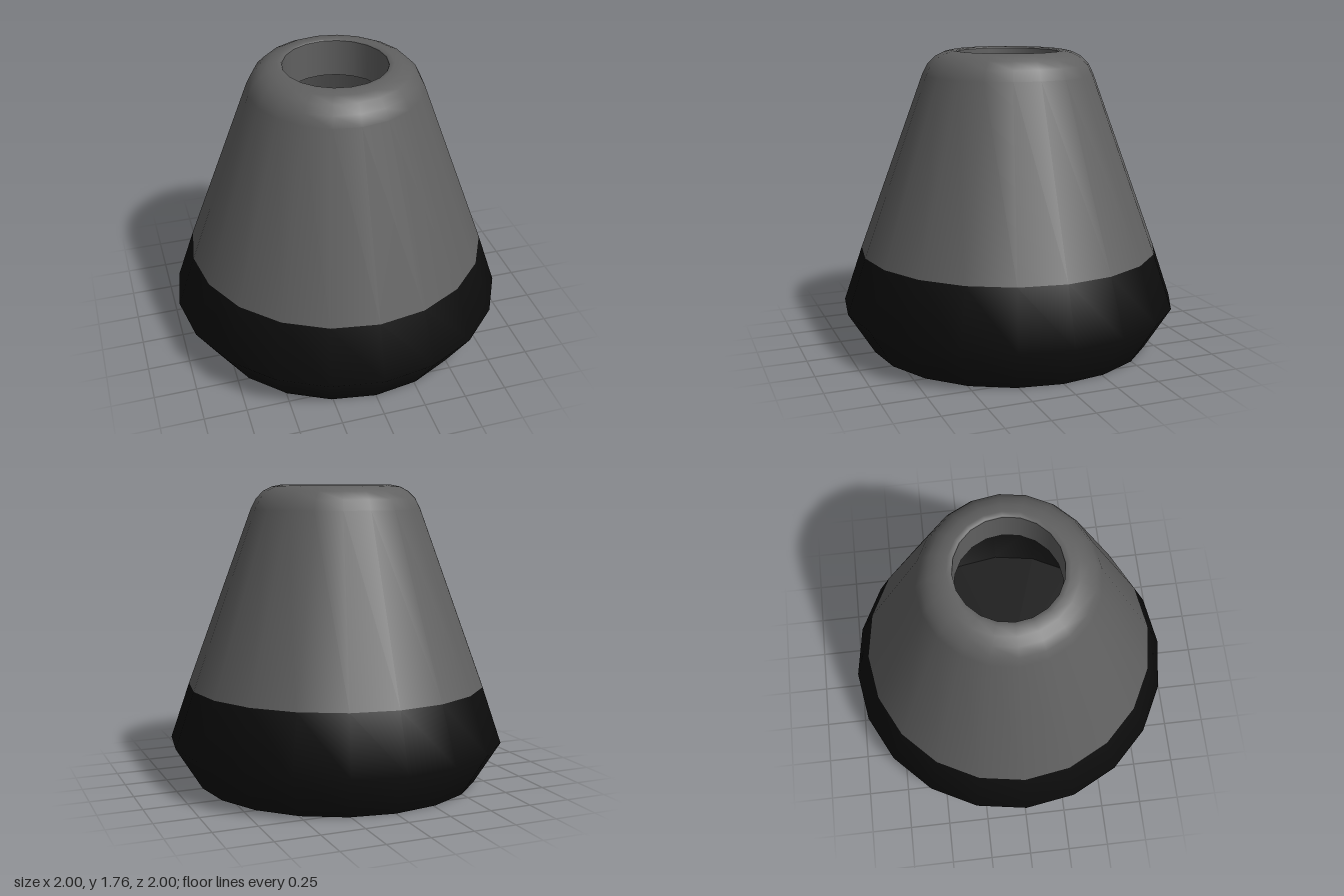
import * as THREE from 'three';

const SIDES = 20;

export function createModel() {
  const model = new THREE.Group();
  const grey = new THREE.MeshStandardMaterial({ color: 0x606060, side: THREE.DoubleSide });
  const black = new THREE.MeshStandardMaterial({ color: 0x0d0d0d, side: THREE.DoubleSide });

  const add = (name, geometry, material) => {
    const mesh = new THREE.Mesh(geometry, material);
    mesh.name = name;
    model.add(mesh);
    return mesh;
  };
  const lathe = (profile) =>
    new THREE.LatheGeometry(profile.map(([r, y]) => new THREE.Vector2(r, y)), SIDES);

  // Tapered shell with a rounded shoulder
  add('coneBody', lathe([
    [0.888, 0.58], [0.505, 1.62], [0.475, 1.68], [0.43, 1.725],
    [0.38, 1.75], [0.33, 1.76], [0.305, 1.757], [0.3, 1.75],
  ]), grey);

  // Short collar running down inside the top opening, open to the hollow shell
  add('openingCollar', lathe([[0.3, 1.75], [0.3, 1.53]]), grey);

  // Dark base band, widest just above the floor
  add('baseBand', lathe([[0.845, 0], [1, 0.25], [0.888, 0.58]]), black);

  // Flat underside, also seen through the opening
  const underside = add('underside', new THREE.CircleGeometry(0.845, SIDES), black);
  underside.rotation.x = Math.PI / 2;

  return model;
}
